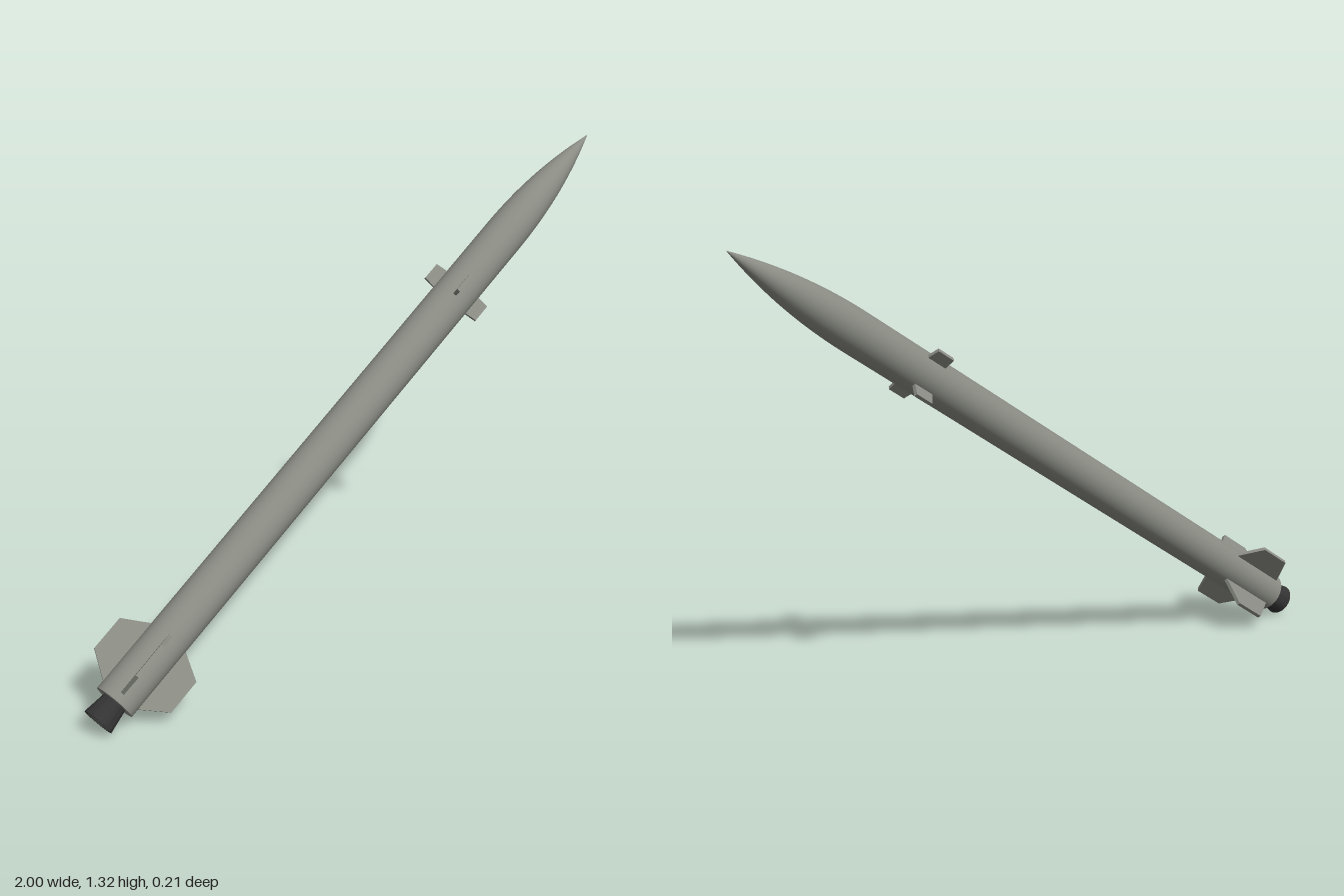
import * as THREE from 'three';
import { toCreasedNormals } from 'three/addons/utils/BufferGeometryUtils.js';

const R = 0.063;          // body radius
const TAIL = 0.07;        // start of the body along the axis
const JOINT = 1.9;        // body / nose seam
const TIP = 2.354;        // nose tip

const bodyMat = new THREE.MeshStandardMaterial({ color: 0x8a8c84 });
const darkMat = new THREE.MeshStandardMaterial({ color: 0x333333 });

function addMesh(parent, name, geometry, material) {
  const mesh = new THREE.Mesh(geometry, material);
  mesh.name = name;
  parent.add(mesh);
  return mesh;
}

// Four thin blades in an X; outline points are [radius, height along axis]
function addFins(parent, name, outline, thickness) {
  const shape = new THREE.Shape(outline.map(([r, s]) => new THREE.Vector2(r, s)));
  const geometry = new THREE.ExtrudeGeometry(shape, { depth: thickness, bevelEnabled: false });
  geometry.translate(0, 0, -thickness / 2);
  const set = new THREE.Group();
  set.name = name + 's';
  for (let i = 0; i < 4; i++) {
    addMesh(set, name, geometry, bodyMat).rotation.y = Math.PI / 4 + i * Math.PI / 2;
  }
  parent.add(set);
}

export function createModel() {
  const model = new THREE.Group();
  model.name = 'missile';

  // Everything is built upright along y, then tilted as one piece
  const airframe = new THREE.Group();
  airframe.name = 'airframe';
  airframe.rotation.z = -THREE.MathUtils.degToRad(57);
  airframe.position.set(-0.974, 0.04, 0);
  model.add(airframe);

  // Body tube
  const body = new THREE.CylinderGeometry(R, R, JOINT - TAIL, 48);
  body.translate(0, (JOINT + TAIL) / 2, 0);
  addMesh(airframe, 'body', body, bodyMat);

  // Ogive nose cone
  const nose = [];
  for (let i = 0; i <= 24; i++) {
    const t = i / 24;
    nose.push(new THREE.Vector2(R * (1 - t ** 2.1), JOINT + (TIP - JOINT) * t));
  }
  addMesh(airframe, 'noseCone', new THREE.LatheGeometry(nose, 48), bodyMat);

  // Flared, hollow exhaust nozzle
  const bell = [[0, 0.06], [0.028, 0.06], [0.043, 0], [0.048, 0], [0.037, TAIL + 0.005]]
    .map(([r, s]) => new THREE.Vector2(r, s));
  addMesh(airframe, 'nozzle', toCreasedNormals(new THREE.LatheGeometry(bell, 40), 0.6), darkMat);

  // Swept tail fins and small forward fins
  addFins(airframe, 'tailFin',
    [[0.05, 0.095], [0.062, 0.095], [0.14, 0.148], [0.14, 0.257], [0.062, 0.303], [0.05, 0.303]], 0.011);
  addFins(airframe, 'forwardFin',
    [[0.05, 1.625], [0.1, 1.63], [0.1, 1.688], [0.05, 1.694]], 0.011);

  return model;
}
